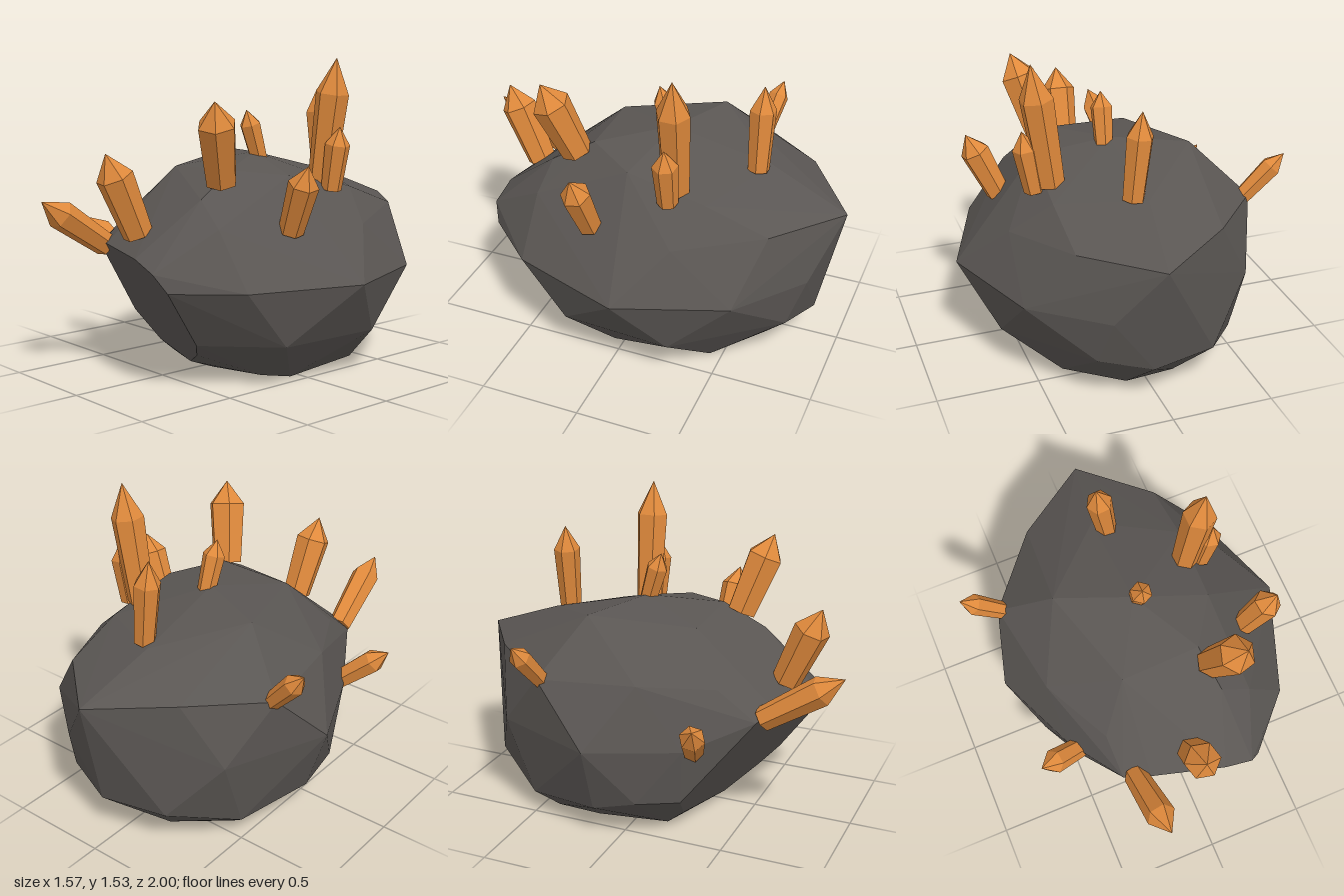
import * as THREE from 'three';
import { ConvexGeometry } from 'three/addons/geometries/ConvexGeometry.js';

const stone = new THREE.MeshStandardMaterial({ color: 0x5a5653 });
stone.name = 'charcoal stone';
const amber = new THREE.MeshStandardMaterial({ color: 0xe08a3c });
amber.name = 'amber crystal';

const V = (x, y, z) => new THREE.Vector3(x, y, z);

// Depth of the slanted flat cut on the front of the boulder
const cutZ = (x, y) => 0.33 + 0.3 * (x - 0.01) + 0.67 * (y - 0.04);

function makeBoulder() {
  const points = [];
  const add = (list) => list.forEach((p) => points.push(V(...p)));
  const ring = (y, pairs) => add(pairs.map(([x, z]) => [x, y, z]));

  // flat underside
  ring(0, [[0.43, 0.05], [0.36, -0.44], [0.1, -0.64], [-0.15, -0.62], [-0.39, -0.42],
    [-0.4, -0.19], [-0.34, 0.16], [0.05, 0.22], [0.32, 0.14]]);
  // lower belt
  ring(0.21, [[0.63, -0.31], [0.6, 0.24], [0.05, -0.88], [-0.28, -0.8], [-0.6, 0.1]]);
  add([[0.3, 0.26, -0.8], [-0.5, 0.11, -0.5], [-0.61, 0.15, -0.12]]);
  // widest belt
  ring(0.49, [[0.785, -0.08], [0.59, 0.47], [0.59, -0.61], [0.25, -0.88], [0.05, -0.91],
    [-0.15, -0.88], [-0.51, -0.64], [-0.72, -0.12], [-0.53, 0.31]]);
  // shoulders
  add([[0.57, 0.73, -0.3], [0.39, 0.76, 0.47], [-0.36, 0.76, 0.42], [-0.54, 0.79, 0.08],
    [-0.62, 0.78, -0.4], [0.24, 0.88, 0.45]]);
  // upper back
  add([[0.04, 0.78, -1], [0.37, 0.78, -0.71], [0.38, 0.89, -0.4], [-0.33, 0.81, -0.74],
    [-0.02, 0.935, -0.6]]);
  // crown
  add([[-0.36, 1.04, -0.25], [0, 1.055, -0.1], [0.2, 1.0, 0.24], [-0.2, 0.99, 0.25],
    [0.36, 0.97, 0]]);
  // rim of the front cut
  add([[-0.4, 0.48], [-0.35, 0.62], [-0.22, 0.64], [0.14, 0.625], [0.285, 0.575],
    [0.345, 0.49], [0.3, 0.21], [0.2, 0.13], [0.01, 0.04], [-0.34, 0.07], [-0.5, 0.21]]
    .map(([x, y]) => [x, y, cutZ(x, y)]));

  const mesh = new THREE.Mesh(new ConvexGeometry(points), stone);
  mesh.name = 'boulder';
  return mesh;
}

// Six-sided crystal that widens to a shoulder and ends in a point
function makeCrystal(base, tip, radius, spin) {
  const axis = tip.clone().sub(base);
  const h = axis.length();
  const profile = [[0, 0], [radius * 0.82, 0], [radius, h * 0.72], [0, h]]
    .map(([r, y]) => new THREE.Vector2(r, y));
  const geometry = new THREE.LatheGeometry(profile, 6, spin).toNonIndexed();
  geometry.computeVertexNormals();
  const mesh = new THREE.Mesh(geometry, amber);
  mesh.position.copy(base);
  mesh.quaternion.setFromUnitVectors(V(0, 1, 0), axis.normalize());
  return mesh;
}

export function createModel() {
  const model = new THREE.Group();
  model.name = 'crystalBoulder';
  model.add(makeBoulder());

  // base, tip, radius
  const crystals = [
    [[0.34, 0.92, -0.24], [0.43, 1.53, -0.25], 0.083],
    [[0.42, 0.89, -0.23], [0.475, 1.2, -0.23], 0.062],
    [[0.235, 0.95, 0.32], [0.34, 1.34, 0.45], 0.095],
    [[0.51, 0.73, 0.13], [0.655, 1.05, 0.16], 0.074],
    [[0.04, 0.93, -0.55], [0, 1.36, -0.55], 0.066],
    [[0.03, 1.01, -0.11], [0.02, 1.27, -0.03], 0.055],
    [[0.005, 0.71, 0.64], [-0.01, 1.1, 0.81], 0.09],
    [[-0.29, 0.62, 0.62], [-0.26, 0.87, 1.0], 0.073],
    [[-0.46, 0.47, 0.34], [-0.71, 0.69, 0.43], 0.062],
    [[-0.58, 0.76, -0.39], [-0.785, 0.99, -0.43], 0.053],
  ];
  crystals.forEach(([base, tip, radius], i) => {
    const crystal = makeCrystal(V(...base), V(...tip), radius, i * 0.4);
    crystal.name = `crystal${i + 1}`;
    model.add(crystal);
  });
  return model;
}
